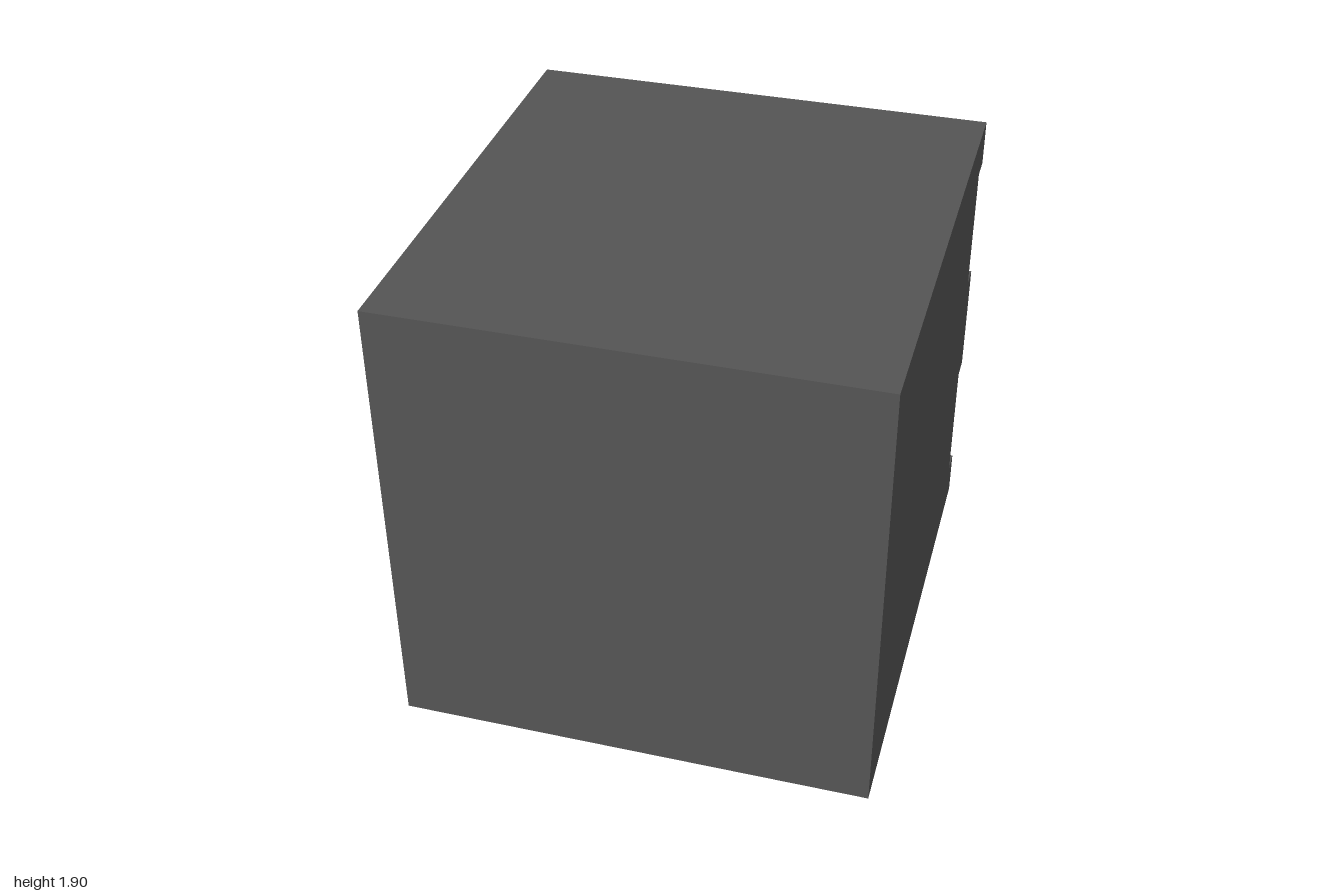
import * as THREE from 'three';

const WIDTH = 1.9, HEIGHT = 1.905, BACK = -1, RECESS = -0.9;
const SLOTS = [[0.193, 0.717], [1.193, 1.717]]; // bottom and top of each slot

export function createModel() {
  const group = new THREE.Group();
  const grey = new THREE.MeshStandardMaterial({ name: 'bodyGrey', color: 0x555555 });
  const dark = new THREE.MeshStandardMaterial({ name: 'slotDark', color: 0x2d2d2d });

  // Body: side profile (z, y) with notches along the back, extruded across the width
  const profile = new THREE.Shape();
  profile.moveTo(1, 0);
  profile.lineTo(1, HEIGHT);
  profile.lineTo(BACK, HEIGHT);
  for (const [low, high] of [...SLOTS].reverse()) {
    profile.lineTo(BACK, high);
    profile.lineTo(RECESS, high);
    profile.lineTo(RECESS, low);
    profile.lineTo(BACK, low);
  }
  profile.lineTo(BACK, 0);
  profile.closePath();
  const bodyGeometry = new THREE.ExtrudeGeometry(profile, { depth: WIDTH, bevelEnabled: false });
  bodyGeometry.rotateY(-Math.PI / 2).translate(WIDTH / 2, 0, 0);
  const body = new THREE.Mesh(bodyGeometry, grey);
  body.name = 'body';
  group.add(body);

  // Dark back faces of the slots
  SLOTS.forEach(([low, high], i) => {
    const panel = new THREE.Mesh(new THREE.PlaneGeometry(WIDTH, high - low), dark);
    panel.rotation.y = Math.PI;
    panel.position.set(0, (low + high) / 2, RECESS - 0.002);
    panel.name = i ? 'upperSlotPanel' : 'lowerSlotPanel';
    group.add(panel);
  });

  return group;
}
